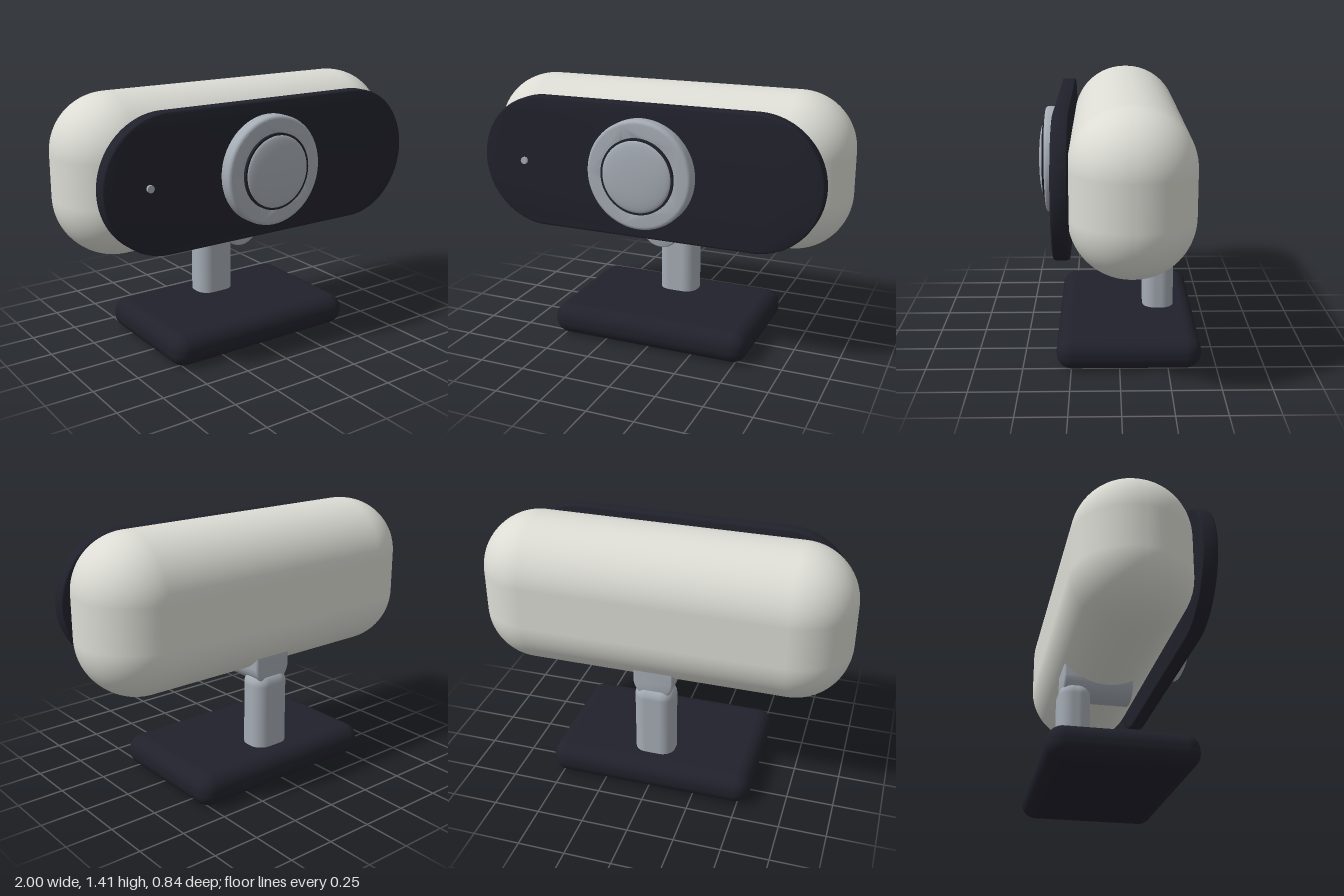
import * as THREE from 'three';
import { toCreasedNormals } from 'three/addons/utils/BufferGeometryUtils.js';
import { RoundedBoxGeometry } from 'three/addons/geometries/RoundedBoxGeometry.js';

const shellWhite = new THREE.MeshStandardMaterial({ name: 'shell white', color: 0xdcdcd5 });
const darkPlastic = new THREE.MeshStandardMaterial({ name: 'dark plastic', color: 0x21212c });
const silver = new THREE.MeshStandardMaterial({ name: 'silver', color: 0xa5acb4 });

const CENTER_Y = 0.994;

export function createModel() {
  const model = new THREE.Group();
  model.name = 'webcam';

  const add = (name, geometry, material, x, y, z) => {
    const mesh = new THREE.Mesh(geometry, material);
    mesh.name = name;
    mesh.position.set(x, y, z);
    model.add(mesh);
    return mesh;
  };

  // Bevelled extrusion whose full outline is the shape, from z = 0 to z = depth
  const slab = (shape, depth, bevel) => {
    const g = new THREE.ExtrudeGeometry(shape, {
      depth: depth - 2 * bevel, bevelEnabled: true, bevelThickness: bevel,
      bevelSize: bevel, bevelOffset: -bevel, bevelSegments: 4, curveSegments: 40,
    });
    g.translate(0, 0, bevel);
    return toCreasedNormals(g, 0.6);
  };

  // Camera body
  add('body', new RoundedBoxGeometry(2, 0.825, 0.61, 12, 0.3), shellWhite, 0, CENTER_Y, -0.055);

  // Stadium-shaped face plate
  const r = 0.352, half = 0.935 - r;
  const stadium = new THREE.Shape();
  stadium.absarc(half, 0, r, -Math.PI / 2, Math.PI / 2, false);
  stadium.absarc(-half, 0, r, Math.PI / 2, Math.PI * 1.5, false);
  stadium.closePath();
  add('facePlate', slab(stadium, 0.077, 0.01), darkPlastic, 0, CENTER_Y, 0.24);

  // Lens ring, bezel and domed glass
  const ring = new THREE.Shape();
  ring.absarc(0, 0, 0.285, 0, Math.PI * 2, false);
  const hole = new THREE.Path();
  hole.absarc(0, 0, 0.18, 0, Math.PI * 2, true);
  ring.holes.push(hole);
  add('lensRing', slab(ring, 0.085, 0.018), silver, 0, CENTER_Y, 0.3);

  const bezel = new THREE.CylinderGeometry(0.198, 0.198, 0.1, 64).rotateX(Math.PI / 2);
  add('lensBezel', bezel, darkPlastic, 0, CENTER_Y, 0.35);

  const dome = [];
  for (let i = 0; i <= 10; i++) {
    const a = (i / 10) * Math.PI / 2;
    dome.push(new THREE.Vector2(0.187 * Math.cos(a), 0.022 * Math.sin(a)));
  }
  const glass = new THREE.LatheGeometry(dome, 64).rotateX(Math.PI / 2);
  add('lens', glass, silver, 0, CENTER_Y, 0.4);

  // Indicator light
  const light = new THREE.CylinderGeometry(0.019, 0.019, 0.02, 16).rotateX(Math.PI / 2);
  add('indicatorLight', light, silver, -0.69, CENTER_Y, 0.32);

  // U-shaped hinge under the body
  const u = new THREE.Shape();
  u.moveTo(0.11, 0.14);
  u.lineTo(-0.11, 0.14);
  u.lineTo(-0.11, 0);
  u.absarc(0, 0, 0.11, Math.PI, Math.PI * 2, false);
  u.closePath();
  add('hinge', slab(u, 0.375, 0.012), silver, 0, 0.625, -0.285);

  // Post and base
  add('post', new RoundedBoxGeometry(0.22, 0.5, 0.17, 8, 0.07), silver, 0, 0.34, -0.22);
  add('base', new RoundedBoxGeometry(1.12, 0.174, 0.745, 8, 0.08), darkPlastic, 0, 0.087, -0.0475);

  return model;
}
